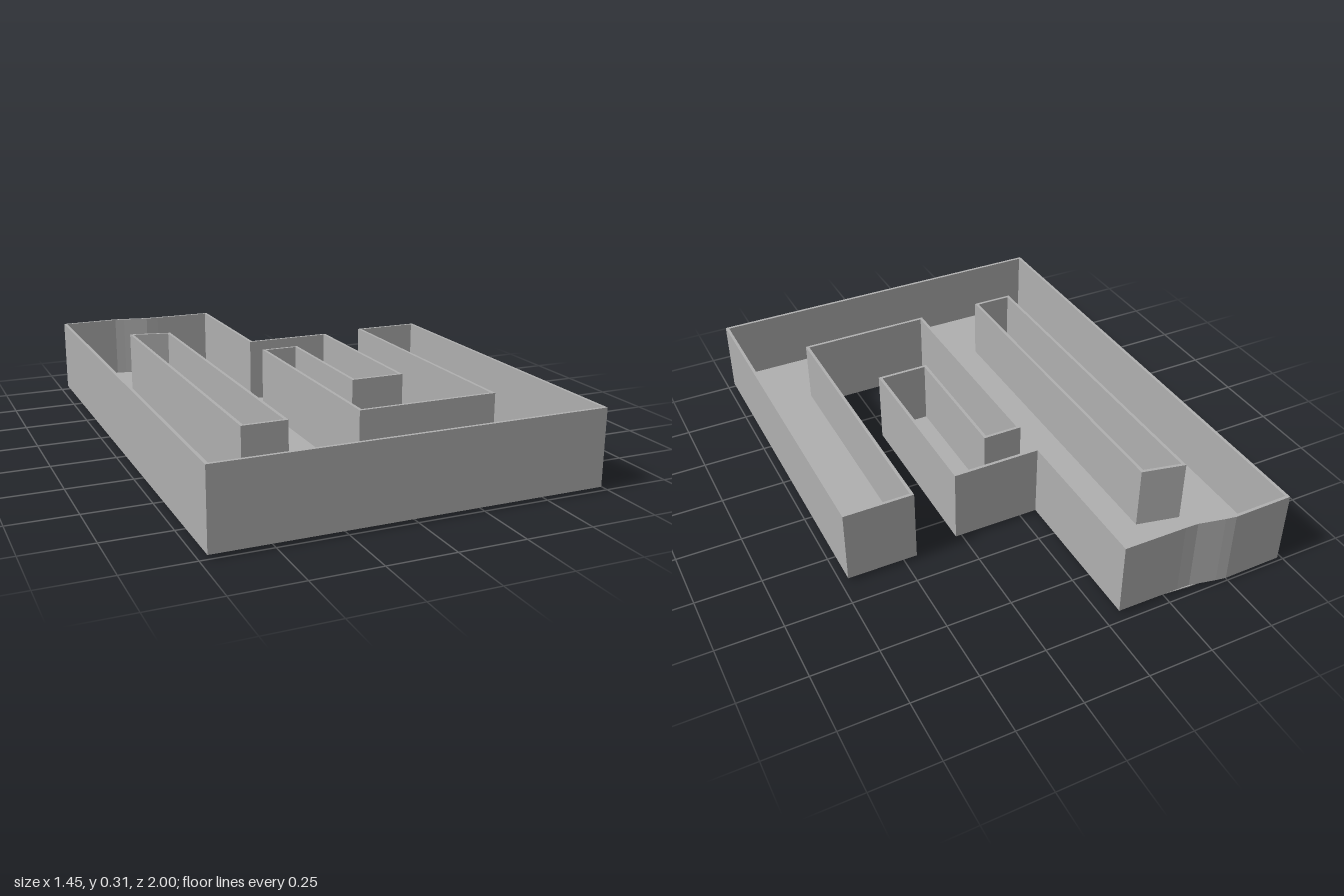
import * as THREE from 'three';
import { ConvexGeometry } from 'three/addons/geometries/ConvexGeometry.js';

const WALL = 0.012, BASE = 0.015, FLOOR = 0.055, TOP = 0.305;

// Plan points as [x, z], turned into counter-clockwise shape points
function plan(points) {
  const pts = points.map(([x, z]) => new THREE.Vector2(x, -z));
  return THREE.ShapeUtils.isClockWise(pts) ? pts.reverse() : pts;
}

// Mitred offset of a counter-clockwise loop; positive d moves inwards
function offset(pts, d) {
  const n = pts.length;
  const normal = (a, b) => new THREE.Vector2(a.y - b.y, b.x - a.x).normalize();
  return pts.map((p, i) => {
    const n1 = normal(pts[(i + n - 1) % n], p);
    const n2 = normal(p, pts[(i + 1) % n]);
    return n1.clone().add(n2).multiplyScalar(d / (1 + n1.dot(n2))).add(p);
  });
}

export function createModel() {
  const group = new THREE.Group();
  const grey = new THREE.MeshStandardMaterial({ color: 0xb0b0b0 });
  grey.name = 'grey';

  function add(name, geometry) {
    const mesh = new THREE.Mesh(geometry, grey);
    mesh.name = name;
    group.add(mesh);
  }

  function slab(name, outer, inner, y0, y1) {
    const shape = new THREE.Shape(outer);
    shape.holes.push(new THREE.Path(inner));
    const geometry = new THREE.ExtrudeGeometry(shape, { depth: y1 - y0, bevelEnabled: false });
    geometry.rotateX(-Math.PI / 2).translate(0, y0, 0);
    add(name, geometry);
  }

  const outline = plan([
    [-0.723, -0.998], [-0.49, -1], [-0.45, -0.993], [-0.35, -0.971], [-0.3, -0.969],
    [-0.06, -0.967], [-0.06, -0.365], [0.28, -0.365], [0.28, 0.347], [0.07, 0.347],
    [0.07, -0.198], [-0.06, -0.198], [-0.06, 0.688], [0.453, 0.688],
    [0.453, -0.393], [0.723, -0.393], [0.723, 1], [-0.723, 1],
  ]);
  const slot = plan([[-0.49, -0.67], [-0.345, -0.638], [-0.345, 0.688], [-0.49, 0.688]]);

  // Corridor floor, and the thin walls along both of its edges
  slab('floor', outline, slot, BASE, FLOOR);
  slab('outerWall', outline, offset(outline, WALL), FLOOR, TOP);
  slab('slotWall', offset(slot, -WALL), slot, FLOOR, TOP);

  // Shallow bulge under the back of the floor
  add('undersideBulge', new ConvexGeometry([
    [-0.42, BASE, -0.98], [-0.2, BASE, -0.965], [-0.24, BASE, -0.87], [-0.32, BASE, -0.84],
    [-0.4, BASE, -0.9], [-0.35, 0.002, -0.968], [-0.31, 0, -0.95],
  ].map((p) => new THREE.Vector3(...p))));

  return group;
}
